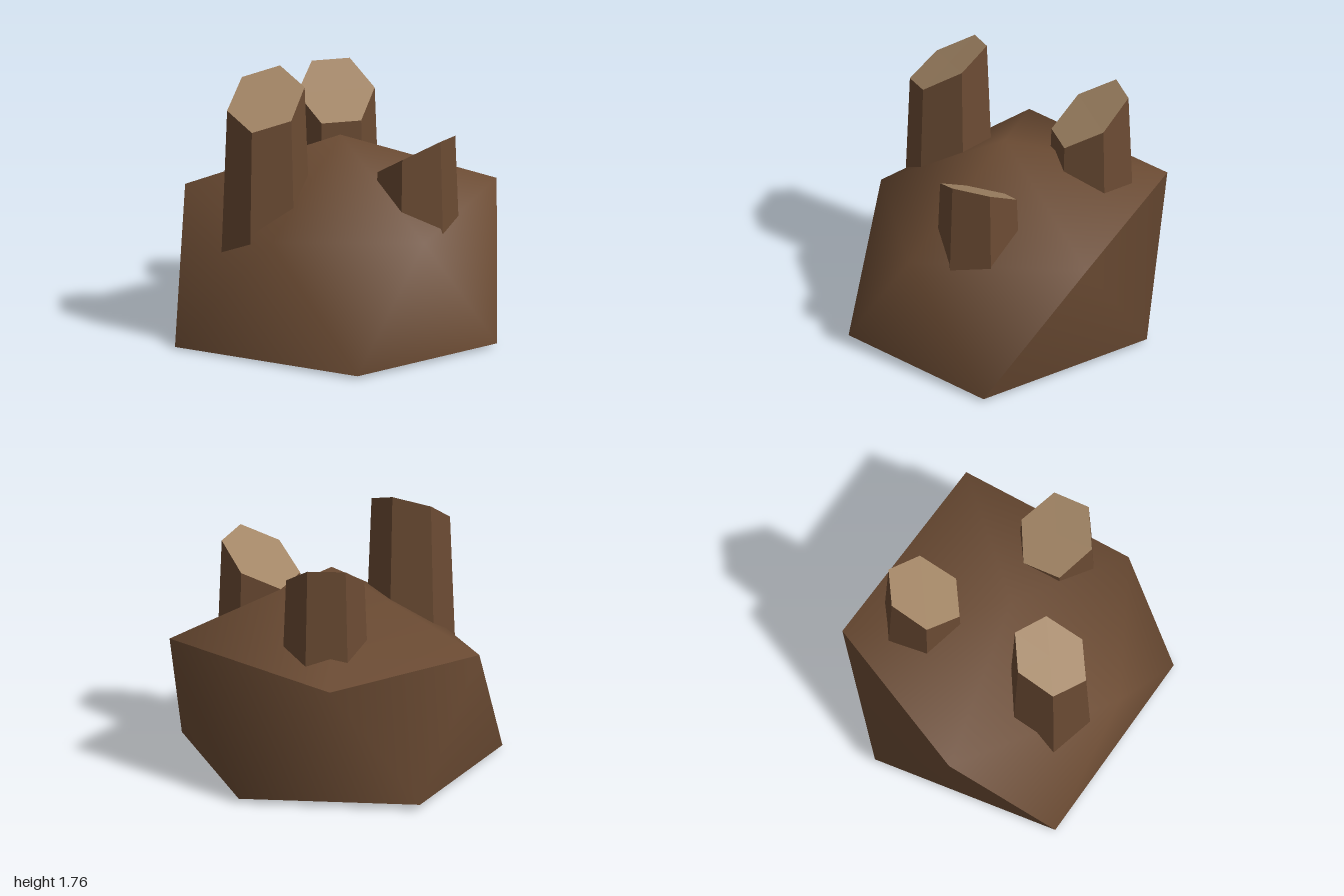
import * as THREE from 'three';

const rock = new THREE.MeshStandardMaterial({ color: 0x6b4b33 });
rock.name = 'brown rock';
const cut = new THREE.MeshStandardMaterial({ color: 0xa18464 });
cut.name = 'tan cut face';

// Boulder corners: crown, upper ring, lower ring, underside centre
const crown = [0.08, 1.29, -0.02];
const upper = [[0.36, 0.8, 0.76], [0.95, 0.79, 0.01], [0.42, 0.9, -1], [-0.81, 0.86, -0.59], [-0.78, 0.87, 0.53]];
const lower = [[-0.3, 0.01, 1], [0.93, 0.02, 0.53], [0.93, 0.02, -0.59], [-0.25, 0.03, -0.91], [-0.96, 0.04, -0.02]];
const corners = [crown, ...upper, ...lower, [0, 0, 0]];
const U = i => 1 + (i + 5) % 5;
const L = i => 6 + (i + 5) % 5;

// One smoothly shaded patch; patches meet at hard creases
function patch(name, faces) {
  const g = new THREE.BufferGeometry();
  g.setAttribute('position', new THREE.Float32BufferAttribute(corners.flat(), 3));
  g.setIndex(faces.flat());
  g.computeVertexNormals();
  const mesh = new THREE.Mesh(g, rock);
  mesh.name = name;
  return mesh;
}

function makeBoulder() {
  const sunny = [], back = [], underside = [];
  for (let i = 0; i < 5; i++) {
    sunny.push([U(i - 1), U(i), 0]);
    (i < 3 ? sunny : back).push([L(i), U(i), U(i - 1)]);
    (i < 2 ? sunny : back).push([L(i), L(i + 1), U(i)]);
    underside.push([L(i + 1), L(i), 11]);
  }
  const group = new THREE.Group();
  group.name = 'boulder';
  group.add(patch('topAndFront', sunny), patch('backAndSide', back), patch('underside', underside));
  return group;
}

// Slightly tapered hexagonal column with a slanted top
function makeColumn(name, x, z, topY, slopeX, slopeZ, turn = 0) {
  const base = 0.5, radius = 0.245, taper = 0.038;
  const g = new THREE.CylinderGeometry(radius, radius, 1, 6);
  g.rotateY(Math.PI / 6 + turn);
  const p = g.attributes.position;
  for (let i = 0; i < p.count; i++) {
    const px = p.getX(i), pz = p.getZ(i);
    const y = p.getY(i) > 0 ? topY + slopeX * px + slopeZ * pz : base;
    const s = 1 + taper * (topY - y) / radius;
    p.setXYZ(i, px * s, y, pz * s);
  }
  const flat = g.toNonIndexed();
  flat.computeVertexNormals();
  const mesh = new THREE.Mesh(flat, [rock, cut, rock]);
  mesh.name = name;
  mesh.position.set(x, 0, z);
  return mesh;
}

export function createModel() {
  const model = new THREE.Group();
  model.name = 'rockWithColumns';
  model.add(
    makeBoulder(),
    makeColumn('frontColumn', 0, 0.51, 1.605, -0.35, -0.51),
    makeColumn('backRightColumn', -0.365, -0.345, 1.41, -0.56, -0.36),
    makeColumn('backLeftColumn', 0.575, -0.235, 1.24, 0.56, -0.18, -0.02)
  );
  return model;
}
